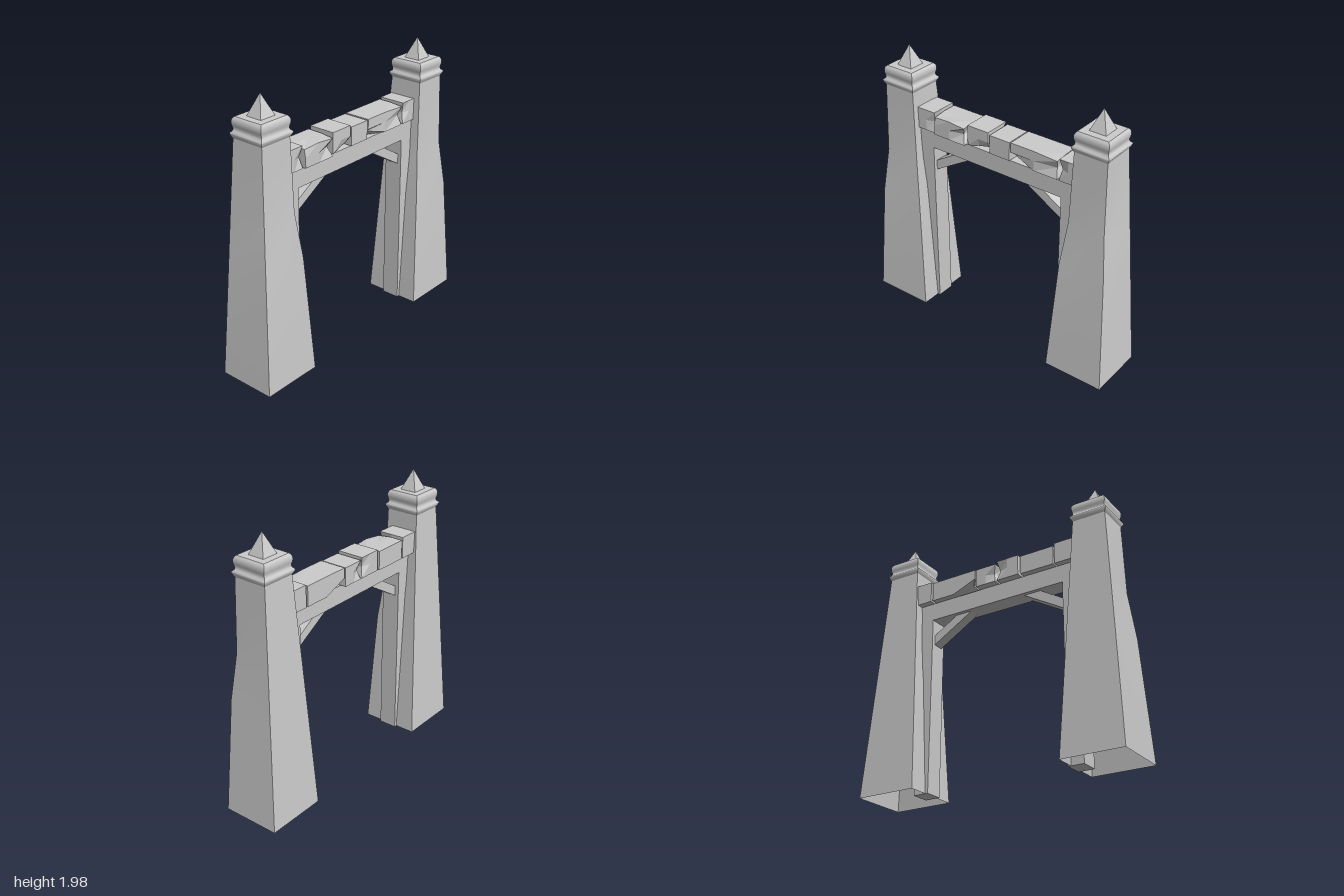
import * as THREE from 'three';
import { toCreasedNormals } from 'three/addons/utils/BufferGeometryUtils.js';

const material = new THREE.MeshStandardMaterial({ color: 0xcccccc, side: THREE.DoubleSide });

function part(name, geometry, parent, crease = 0.1) {
  const mesh = new THREE.Mesh(toCreasedNormals(geometry, crease), material);
  mesh.name = name;
  parent.add(mesh);
  return mesh;
}

function box(x0, x1, y0, y1, z0, z1, segments = 1) {
  return new THREE.BoxGeometry(x1 - x0, y1 - y0, z1 - z0, segments, segments, segments)
    .translate((x0 + x1) / 2, (y0 + y1) / 2, (z0 + z1) / 2);
}

// Square section turned from [half width, height] points
function squareLathe(points) {
  const profile = points.map(([w, y]) => new THREE.Vector2(w * Math.SQRT2, y));
  return new THREE.LatheGeometry(profile, 4).rotateY(Math.PI / 4);
}

// Tapered shaft, open below; its two front edges are worn inwards at one level
function shaftGeometry() {
  const levels = [0, 0.85, 1.18, 1.71];
  const geo = new THREE.CylinderGeometry(1, 1, 3, 4, 3, true).rotateY(Math.PI / 4);
  const p = geo.attributes.position;
  for (let i = 0; i < p.count; i++) {
    const level = Math.round(p.getY(i) + 1.5);
    const y = levels[level], t = y / 1.71;
    const sx = Math.sign(p.getX(i)), sz = Math.sign(p.getZ(i));
    const wear = level === 2 && sz > 0 ? 0.018 : 0;
    p.setXYZ(i,
      sx * (THREE.MathUtils.lerp(0.222, 0.121, t) - wear), y,
      sz * (THREE.MathUtils.lerp(0.211, 0.121, t) - wear) + 0.005 * t);
  }
  return geo;
}

function tower(side) {
  const group = new THREE.Group();
  group.name = side > 0 ? 'leftTower' : 'rightTower';
  group.position.x = side * 0.778;
  part('shaft', shaftGeometry(), group);

  const cap = squareLathe([
    [0.12, 1.69], [0.123, 1.695], [0.136, 1.72], [0.135, 1.73], [0.122, 1.742], [0.119, 1.757],
    [0.124, 1.775], [0.127, 1.79], [0.126, 1.808], [0.121, 1.822], [0.111, 1.833], [0, 1.833],
  ]);
  part('cap', cap, group, 0.8).position.z = 0.005;

  part('spire', squareLathe([[0.062, 1.83], [0, 1.978]]), group).position.z = 0.005;
  return group;
}

// Stone with dents: each dent is [ix, iy, iz, dx, dy, dz], where the first three
// (-1, 0, 1) choose a lattice point of the block and the rest move it
function stone([x0, x1, y0, y1, z0, z1], dents) {
  const geo = box(x0, x1, y0, y1, z0, z1, 2);
  const p = geo.attributes.position;
  const index = (v, a, b) => Math.round((2 * (v - a)) / (b - a)) - 1;
  for (let i = 0; i < p.count; i++) {
    const x = p.getX(i), y = p.getY(i), z = p.getZ(i);
    for (const [ix, iy, iz, dx, dy, dz] of dents) {
      if (index(x, x0, x1) === ix && index(y, y0, y1) === iy && index(z, z0, z1) === iz) {
        p.setXYZ(i, x + dx, y + dy, z + dz);
      }
    }
  }
  return geo;
}

export function createModel() {
  const model = new THREE.Group();
  model.name = 'gateway';

  // Lintel between the towers
  part('lintel', box(-0.66, 0.66, 1.29, 1.42, -0.065, 0.07), model);

  // Towers, door posts and diagonal braces
  for (const side of [-1, 1]) {
    model.add(tower(side));
    const post = box(0.535, 0.65, 0, 1.29, -0.065, 0.07);
    part('post', post, model).position.x = side > 0 ? 0 : -1.185;

    const outline = [[0.54, 1.1], [0.54, 1.174], [0.345, 1.292], [0.215, 1.292]]
      .map(([x, y]) => new THREE.Vector2(side * x, y));
    const brace = new THREE.ExtrudeGeometry(new THREE.Shape(outline), { depth: 0.08, bevelEnabled: false });
    part('brace', brace, model).position.z = -0.037;
  }

  // Row of worn stones along the lintel
  const stones = [
    { size: [-0.66, -0.505, 1.42, 1.575, -0.112, 0.085], dents: [[1, 0, 1, -0.015, 0, -0.02]] },
    { size: [-0.495, -0.235, 1.42, 1.558, -0.112, 0.1],
      dents: [[1, 0, 1, -0.025, 0, -0.03], [-1, 1, 1, 0, -0.012, -0.01], [1, 1, 1, 0, -0.012, 0]] },
    { size: [-0.215, -0.042, 1.425, 1.575, -0.112, 0.085],
      dents: [[1, -1, 1, -0.02, 0.025, -0.03], [0, -1, 1, 0, 0.015, -0.02], [1, 0, -1, -0.02, 0, 0.02]] },
    { size: [-0.03, 0.133, 1.425, 1.56, -0.112, 0.085], dents: [[-1, 0, -1, 0.02, 0, 0.02]] },
    { size: [0.143, 0.51, 1.42, 1.563, -0.112, 0.085],
      dents: [[-1, -1, 1, 0.01, 0.05, -0.03], [-1, -1, -1, 0.03, 0.04, 0.03], [1, 0, 1, -0.015, 0, -0.025],
        [1, 1, 1, 0, -0.01, 0]] },
    { size: [0.525, 0.66, 1.42, 1.575, -0.112, 0.085], dents: [[-1, 0, 1, 0.015, 0, -0.02]] },
  ];
  for (const { size, dents } of stones) part('stone', stone(size, dents), model);

  return model;
}
